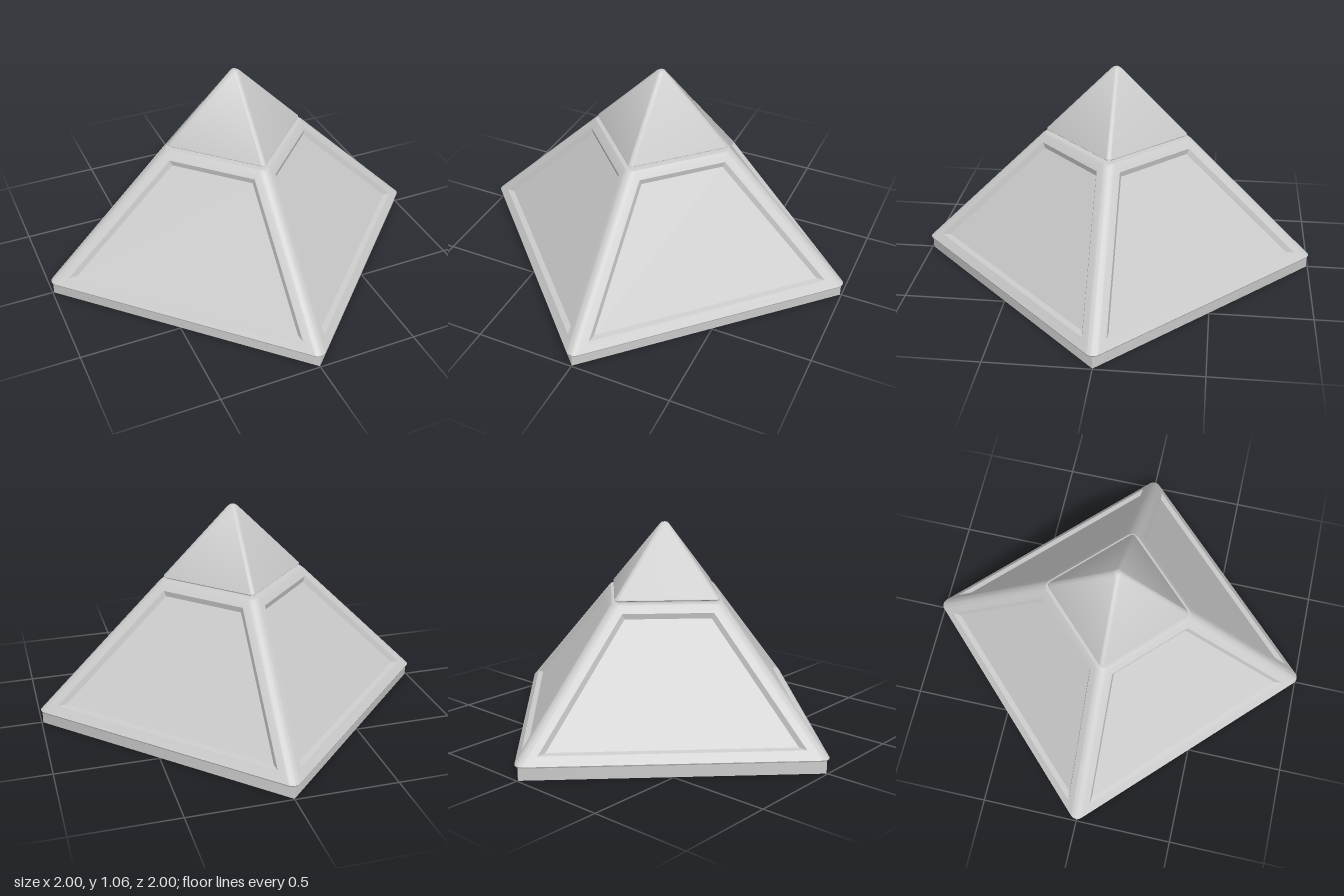
import * as THREE from 'three';
import { toCreasedNormals } from 'three/addons/utils/BufferGeometryUtils.js';

const SEG = 6; // segments per rounded corner
const material = new THREE.MeshStandardMaterial({ color: 0xcccccc });

// Diamond-plan ring with corners on the axes, rounded by radius t
function ring(R, y, t) {
  const r = Math.min(t, 0.4 * R), c = R - r * Math.SQRT2, pts = [];
  for (let k = 0; k < 4; k++) {
    const a = k * Math.PI / 2;
    for (let i = 0; i <= SEG; i++) {
      const p = a + (i / SEG - 0.5) * Math.PI / 2;
      pts.push(new THREE.Vector3(
        c * Math.sin(a) + r * Math.sin(p), y, c * Math.cos(a) + r * Math.cos(p)));
    }
  }
  return pts;
}

function quad(out, a, b, c, d) {
  for (const p of [a, b, c, a, c, d]) out.push(p.x, p.y, p.z);
}

// Joins two four-corner loops with a band of quads
function band(out, outer, inner) {
  for (let i = 0; i < 4; i++) {
    const j = (i + 1) % 4;
    quad(out, outer[i], outer[j], inner[j], inner[i]);
  }
}

// Corners of a trapezoid on the sloping plane x + y + z = sum, turned to one side
function trapezoid(sum, margin, y0, y1, depth, side) {
  const d = depth / Math.sqrt(3);
  return [[margin, y0, 0], [0, y0, 1], [0, y1, 1], [margin, y1, 0]].map(([, y, far]) => {
    const x = far ? sum - y - margin : margin;
    return new THREE.Vector3(x - d, y - d, sum - y - x - d)
      .applyAxisAngle(new THREE.Vector3(0, 1, 0), side * Math.PI / 2);
  });
}

// Sloping face: flat frame, bevelled rim and sunken floor
function recessedFace(out, corners, sum, side) {
  const rim = trapezoid(sum, 0.055, 0.11, 0.665, 0, side);
  const floor = trapezoid(sum, 0.071, 0.126, 0.649, 0.02, side);
  band(out, corners, rim);
  band(out, rim, floor);
  quad(out, ...floor);
}

// Lofts [radius, height] rings; panelBand is the band that carries recessed faces
function loft(name, profile, t, panelBand = -1) {
  const out = [], rings = profile.map(([R, y]) => ring(R, y, t));
  for (let b = 0; b < rings.length - 1; b++) {
    const lo = rings[b], hi = rings[b + 1], n = lo.length;
    for (let k = 0; k < n; k++) {
      const j = (k + 1) % n;
      const corners = [lo[k], lo[j], hi[j], hi[k]];
      if (b === panelBand && k % (SEG + 1) === SEG) {
        const sum = profile[b][0] + profile[b][1];
        recessedFace(out, corners, sum, (k - SEG) / (SEG + 1));
      } else quad(out, ...corners);
    }
  }
  const geo = new THREE.BufferGeometry();
  geo.setAttribute('position', new THREE.Float32BufferAttribute(out, 3));
  const mesh = new THREE.Mesh(toCreasedNormals(geo, 0.5), material);
  mesh.name = name;
  return mesh;
}

export function createModel() {
  const group = new THREE.Group();
  group.name = 'pyramid';
  group.add(
    // Thin square base
    loft('plinth', [[0, 0], [0.995, 0], [0.995, 0.06], [0, 0.06]], 0.006),
    // Truncated body with a sunken panel on each side
    loft('body', [[0, 0.058], [0.995, 0.058], [1.012, 0.063], [1.016, 0.07],
      [0.391, 0.695], [0.38, 0.703], [0.365, 0.705], [0, 0.705]], 0.04, 3),
    // Cap, set above a narrow groove
    loft('cap', [[0.335, 0.7], [0.335, 0.712], [0.355, 0.714], [0.361, 0.718], [0.359, 0.724],
      [0.03, 1.053], [0.018, 1.06], [0, 1.063]], 0.02)
  );
  return group;
}
